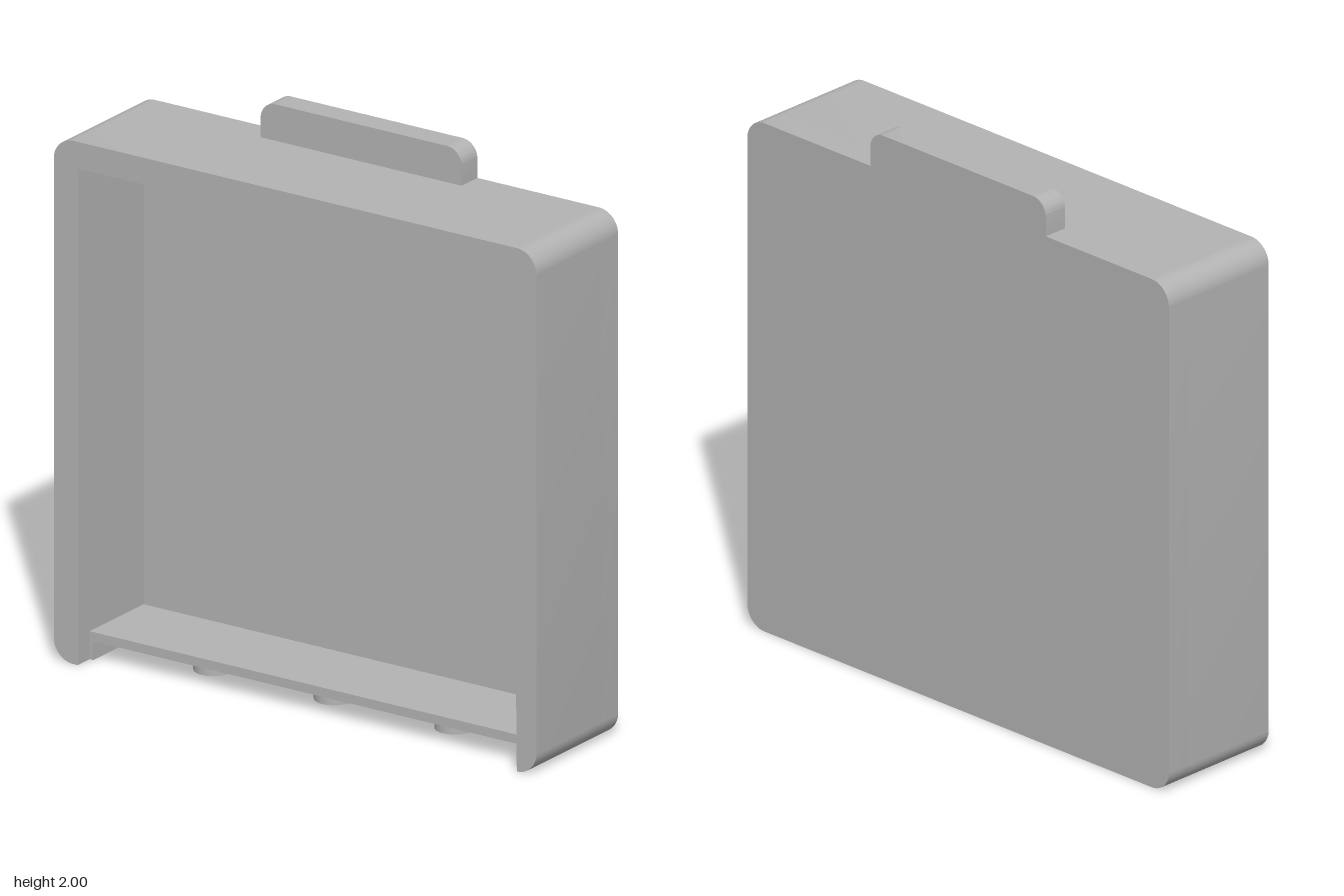
import * as THREE from 'three';
import { toCreasedNormals } from 'three/addons/utils/BufferGeometryUtils.js';

const W = 0.985, H = 1.87, R = 0.08;        // outer half width, height, corner radius
const IN = 0.887, IN_TOP = 1.775;           // inner opening
const BACK = -0.24, PLATE = -0.147, FRONT = 0.24;
const SHELF_FRONT = 0.17, SHELF_TOP = 0.1, SHELF_BOTTOM = 0.067;

export function createModel() {
  const group = new THREE.Group();
  const grey = new THREE.MeshStandardMaterial({ color: 0xb3b3b3 });
  grey.name = 'plain grey';

  const add = (name, geometry, x = 0, y = 0, z = 0) => {
    const mesh = new THREE.Mesh(geometry, grey);
    mesh.name = name;
    mesh.position.set(x, y, z);
    group.add(mesh);
  };
  const extrude = (shape, depth) => toCreasedNormals(
    new THREE.ExtrudeGeometry(shape, { depth, bevelEnabled: false, curveSegments: 12 }), 0.5);
  const corner = (s, x, y, r, from, clockwise = false) =>
    s.absarc(x, y, r, from, from + (clockwise ? -1 : 1) * Math.PI / 2, clockwise);

  // Back panel with the rounded grip tab rising from its top edge
  const back = new THREE.Shape();
  const tab = 0.41, tabR = 0.06;
  back.moveTo(-W + R, 0);
  corner(back, W - R, R, R, -Math.PI / 2);
  corner(back, W - R, H - R, R, 0);
  back.lineTo(tab, H);
  corner(back, tab - tabR, 2 - tabR, tabR, 0);
  corner(back, -tab + tabR, 2 - tabR, tabR, Math.PI / 2);
  back.lineTo(-tab, H);
  corner(back, -W + R, H - R, R, Math.PI / 2);
  corner(back, -W + R, R, R, Math.PI);
  add('backPanelWithTab', extrude(back, PLATE - BACK), 0, 0, BACK);

  // Frame: two sides and a top, open at the bottom
  const frame = new THREE.Shape();
  frame.moveTo(IN, 0);
  corner(frame, W - R, R, R, -Math.PI / 2);
  corner(frame, W - R, H - R, R, 0);
  corner(frame, -W + R, H - R, R, Math.PI / 2);
  corner(frame, -W + R, R, R, Math.PI);
  frame.lineTo(-IN, 0);
  frame.lineTo(-IN, IN_TOP);
  frame.lineTo(IN, IN_TOP);
  frame.closePath();
  add('frame', extrude(frame, FRONT - PLATE), 0, 0, PLATE);

  // Bottom shelf, set back from the front, with thin lips down each side
  const depth = SHELF_FRONT - PLATE, midZ = (SHELF_FRONT + PLATE) / 2;
  add('bottomShelf', new THREE.BoxGeometry(2 * IN, SHELF_TOP - SHELF_BOTTOM, depth),
    0, (SHELF_TOP + SHELF_BOTTOM) / 2, midZ);
  for (const side of [-1, 1]) {
    add(side > 0 ? 'leftLip' : 'rightLip', new THREE.BoxGeometry(0.014, SHELF_BOTTOM, depth),
      side * (IN - 0.007), SHELF_BOTTOM / 2, midZ);
  }

  // Pegs under the shelf
  for (const x of [-0.492, 0, 0.492]) {
    add('peg', new THREE.CylinderGeometry(0.068, 0.068, SHELF_BOTTOM, 32), x, SHELF_BOTTOM / 2, midZ);
  }
  return group;
}
